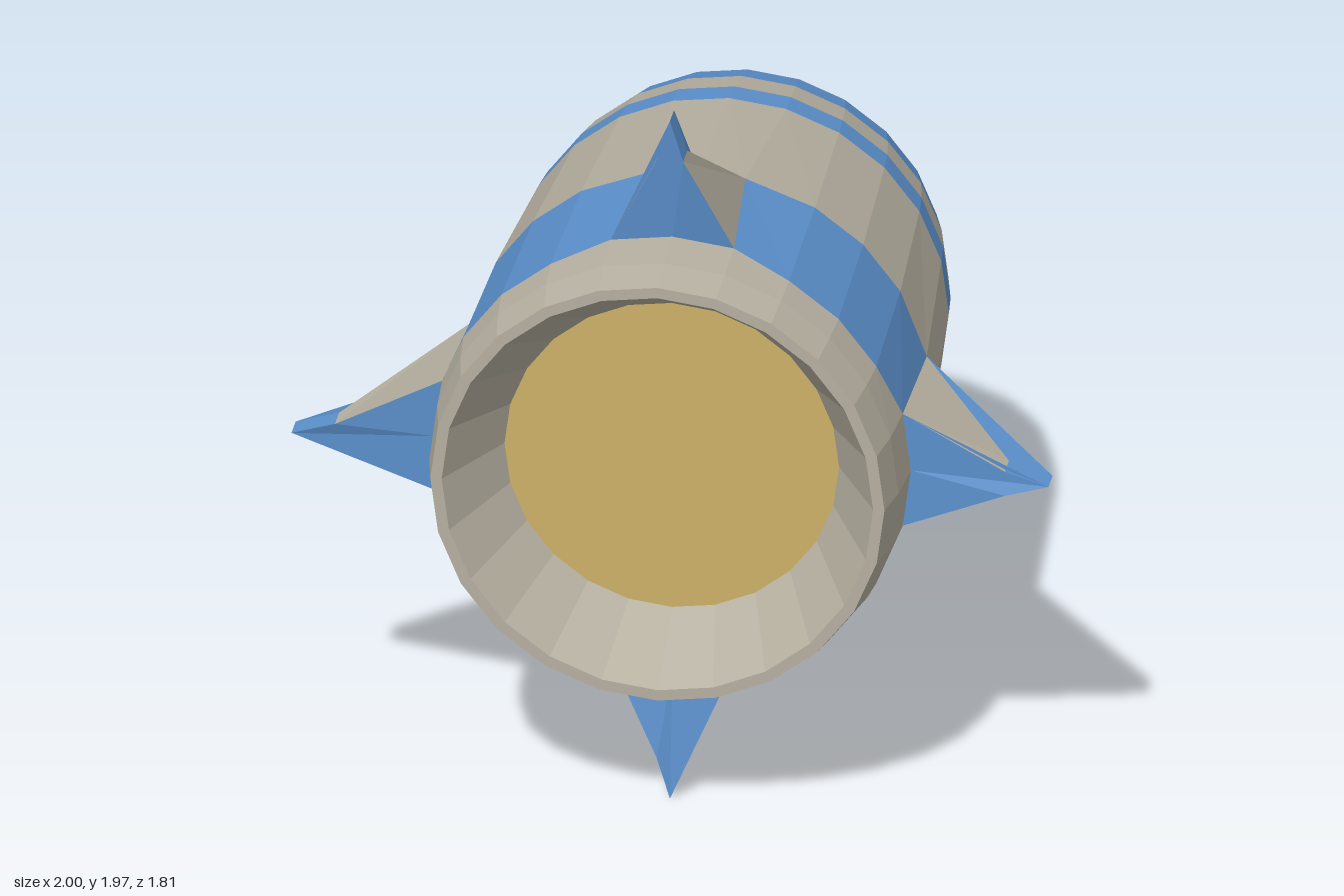
import * as THREE from 'three';

const SIDES = 24;
const CENTRE_Y = 0.985;
const mat = (color) => new THREE.MeshStandardMaterial({ color, flatShading: true });

// Builds a flat-shaded mesh from faces, each a convex loop of [x, y, z] corners
function facesMesh(name, faces, material) {
  const pos = [];
  for (const f of faces) {
    for (let i = 1; i < f.length - 1; i++) pos.push(...f[0], ...f[i], ...f[i + 1]);
  }
  const geo = new THREE.BufferGeometry();
  geo.setAttribute('position', new THREE.Float32BufferAttribute(pos, 3));
  geo.computeVertexNormals();
  const mesh = new THREE.Mesh(geo, material);
  mesh.name = name;
  return mesh;
}

// One ring around the z axis; a 'finRear' or 'finFront' ring bends to meet the fins
function ring([z, r, kind]) {
  return Array.from({ length: SIDES + 1 }, (_, i) => {
    const k = i % 6;
    let a = (i / SIDES) * Math.PI * 2;
    let zz = z;
    if (kind === 'finRear' && k === 1) a -= 0.058;
    if (kind === 'finRear' && k === 5) a += 0.058;
    if (kind === 'finFront' && (k < 2 || k === 5)) zz = 0.66;
    return [r * Math.sin(a), r * Math.cos(a), zz];
  });
}

// Skin between successive rings, listed from nose to tail and then inwards
function skin(name, profile, material) {
  const faces = [];
  const rings = profile.map(ring);
  for (let j = 0; j < rings.length - 1; j++) {
    const [p, q] = [rings[j], rings[j + 1]];
    for (let i = 0; i < SIDES; i++) faces.push([p[i], q[i], q[i + 1], p[i + 1]]);
  }
  return facesMesh(name, faces, material);
}

// A four-sided tapering fin pointing up, swept towards the open end
function makeFin(tip, blue, grey) {
  const fin = new THREE.Group();
  const sides = [], edges = [];
  const knee = tip - 0.115;
  for (const s of [1, -1]) {
    const rear = [s * 0.125, 0.604, 0.24], rearMid = [0, 0.617, 0.24];
    const front = [s * 0.163, 0.608, 0.66], frontMid = [0, 0.63, 0.66];
    const kneeRear = [s * 0.035, knee, 0.633], kneeFront = [s * 0.035, knee, 0.7];
    const tipRear = [0, tip, 0.633], tipFront = [0, tip, 0.7];
    const add = (list, loop) => list.push(s > 0 ? loop : loop.reverse());
    add(sides, [rear, kneeRear, kneeFront, front]);
    add(edges, [kneeRear, tipRear, tipFront, kneeFront]);
    add(edges, [rearMid, tipRear, kneeRear, rear]);
    add(edges, [frontMid, front, kneeFront, tipFront]);
  }
  fin.add(facesMesh('finSides', sides, grey), facesMesh('finEdges', edges, blue));
  return fin;
}

export function createModel() {
  const grey = mat(0xb5afa0);
  const blue = mat(0x5b90cc);
  const gold = mat(0xcbb066);

  const model = new THREE.Group();
  model.name = 'rocket';
  const body = new THREE.Group();
  body.name = 'body';
  body.position.y = CENTRE_Y;
  model.add(body);

  // Hull, from the rounded nose to the open tail
  body.add(
    skin('nose', [[-0.905, 0], [-0.905, 0.08], [-0.87, 0.2], [-0.82, 0.3], [-0.755, 0.39],
      [-0.67, 0.465], [-0.57, 0.517]], grey),
    skin('noseStripe', [[-0.57, 0.517], [-0.47, 0.547]], blue),
    skin('stripeGap', [[-0.47, 0.547], [-0.36, 0.57]], grey),
    skin('shoulderStripe', [[-0.36, 0.57], [-0.27, 0.58]], blue),
    skin('hull', [[-0.27, 0.58], [0.24, 0.617, 'finRear']], grey),
    skin('finBand', [[0.24, 0.617, 'finRear'], [0.7, 0.63, 'finFront']], blue),
    skin('tail', [[0.7, 0.63, 'finFront'], [0.8, 0.62], [0.905, 0.6]], grey),
    // Rim, hollow nozzle and its end disc
    skin('nozzle', [[0.905, 0.6], [0.905, 0.57], [0.67, 0.442]], grey),
    skin('nozzleDisc', [[0.67, 0.442], [0.67, 0]], gold),
  );

  // Four fins; the sideways pair reaches slightly further
  ['topFin', 'leftFin', 'bottomFin', 'rightFin'].forEach((name, i) => {
    const fin = makeFin(i % 2 ? 1 : 0.985, blue, grey);
    fin.name = name;
    fin.rotation.z = -i * Math.PI / 2;
    body.add(fin);
  });

  return model;
}
